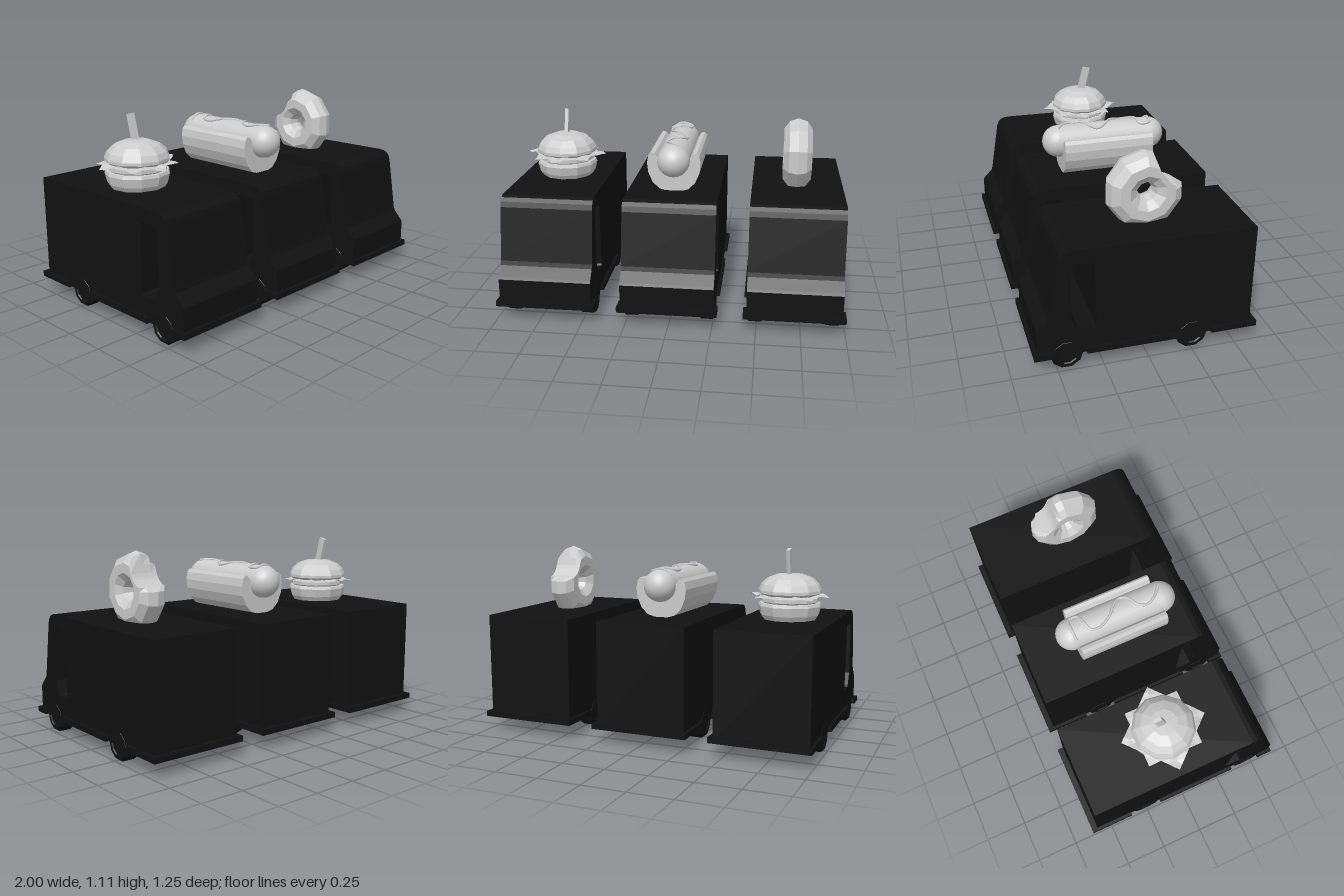
import * as THREE from 'three';

const grey = new THREE.MeshStandardMaterial({ color: 0xcccccc, flatShading: true });
const smooth = new THREE.MeshStandardMaterial({ color: 0xcccccc });
const sheet = new THREE.MeshStandardMaterial({ color: 0xcccccc, flatShading: true, side: THREE.DoubleSide });
const black = new THREE.MeshStandardMaterial({ color: 0x111111, flatShading: true });

function add(parent, name, geometry, material, x = 0, y = 0, z = 0) {
  const mesh = new THREE.Mesh(geometry, material);
  mesh.name = name;
  mesh.position.set(x, y, z);
  parent.add(mesh);
  return mesh;
}

const points = (list) => list.map(([x, y]) => new THREE.Vector2(x, y));
const lathe = (list, sides) => new THREE.LatheGeometry(points(list), sides);

// Van: side profile extruded across x, with a door opening right through
function makeVan() {
  const van = new THREE.Group();
  van.name = 'van';
  const width = 0.536;
  const side = new THREE.Shape(points([
    [0.605, 0.09], [0.605, 0.25], [0.595, 0.263], [0.545, 0.315], [0.537, 0.34], [0.485, 0.65],
    [0.474, 0.68], [0.455, 0.7], [0.43, 0.709], [0.4, 0.711], [-0.59, 0.704], [-0.59, 0.09],
  ]));
  side.holes.push(new THREE.Path(points([
    [0.42, 0.62], [0.41, 0.632], [0.31, 0.632], [0.297, 0.618], [0.285, 0.24],
    [0.294, 0.23], [0.378, 0.23], [0.388, 0.238], [0.42, 0.315],
  ])));
  const body = new THREE.ExtrudeGeometry(side, { depth: width, bevelEnabled: false });
  body.translate(0, 0, -width / 2).rotateY(-Math.PI / 2);
  add(van, 'body', body, black);

  // Skirt, interrupted at the wheels
  for (const [front, back] of [[0.625, 0.53], [0.34, -0.16], [-0.36, -0.625]]) {
    add(van, 'skirt', new THREE.BoxGeometry(0.574, 0.032, front - back), black, 0, 0.105, (front + back) / 2);
  }

  // Ten-sided wheels with chamfered treads and axle stubs
  const tyre = lathe([[0, -0.046], [0.06, -0.046], [0.078, -0.048], [0.09, -0.035],
    [0.09, 0.035], [0.078, 0.048], [0.06, 0.048], [0.054, 0.042], [0, 0.042]], 10);
  const stub = new THREE.CylinderGeometry(0.036, 0.036, 0.08, 10);
  for (const s of [-1, 1]) {
    for (const z of [0.446, -0.254]) {
      const wheel = new THREE.Group();
      wheel.name = 'wheel';
      wheel.position.set(s * 0.222, 0.09, z);
      wheel.rotation.z = -s * Math.PI / 2;
      add(wheel, 'tyre', tyre, black);
      add(wheel, 'axleStub', stub, black, 0, -0.085, 0);
      van.add(wheel);
    }
  }
  return van;
}

// Thin square leaf with a rippled surface and drooping corners
function leaf(size, ripple, droop, turn) {
  const g = new THREE.PlaneGeometry(size, size, 10, 10).rotateX(-Math.PI / 2);
  const p = g.attributes.position;
  for (let i = 0; i < p.count; i++) {
    const x = p.getX(i) / size, z = p.getZ(i) / size;
    p.setY(i, ripple * Math.sin(x * 17) * Math.cos(z * 15) - droop * (x * x + z * z));
  }
  return g.rotateY(turn);
}

function makeBurger() {
  const burger = new THREE.Group();
  burger.name = 'burger';
  burger.position.set(-0.714, 0, -0.05);
  add(burger, 'bottomBun', lathe([[0, 0.7], [0.15, 0.7], [0.172, 0.735], [0.184, 0.785], [0.178, 0.802], [0, 0.805]], 11), grey);
  add(burger, 'patty', lathe([[0, 0.8], [0.152, 0.8], [0.168, 0.81], [0.168, 0.832], [0.15, 0.84], [0, 0.84]], 11), grey);
  add(burger, 'cheese', leaf(0.325, 0.004, 0.03, 0), sheet, 0, 0.848);
  add(burger, 'lettuce', leaf(0.354, 0.01, 0.022, Math.PI / 4 - 0.07), sheet, 0, 0.852);
  add(burger, 'topBun', lathe([[0, 0.845], [0.168, 0.845], [0.183, 0.858], [0.183, 0.875], [0.168, 0.908],
    [0.132, 0.942], [0.075, 0.964], [0, 0.971]], 11), grey);
  const pick = add(burger, 'pick', new THREE.BoxGeometry(0.022, 0.2, 0.045), grey, 0, 1.01, -0.025);
  pick.rotation.x = -0.25;
  return burger;
}

function makeHotDog() {
  const hotDog = new THREE.Group();
  hotDog.name = 'hotDog';
  hotDog.position.set(-0.008, 0.892, -0.022);
  const r = 0.095;
  add(hotDog, 'sausage', new THREE.CapsuleGeometry(r, 0.745 - 2 * r, 8, 24).rotateX(Math.PI / 2), smooth);

  // Crescent bun wrapped under the sausage
  const half = [[0.04, -0.185], [0.085, -0.172], [0.125, -0.133], [0.15, -0.075], [0.157, -0.02], [0.149, 0.025], [0.133, 0.044], [0.112, 0.038]];
  const inner = [[0.09, 0.005], [0.078, -0.045], [0.045, -0.078]];
  const right = [...half, ...inner];
  const left = right.map(([x, y]) => [-x, y]).reverse();
  const bun = new THREE.ExtrudeGeometry(new THREE.Shape(points([...right, ...left])), { depth: 0.535, bevelEnabled: false });
  add(hotDog, 'bun', bun.translate(0, 0, -0.268), grey);

  // Sauce squiggle laid on the top of the sausage
  const path = [[-0.075, -0.272], [-0.01, -0.277], [0.052, -0.272], [0.052, -0.215], [0.0, -0.198], [-0.05, -0.175], [-0.056, -0.12],
    [-0.02, -0.045], [0.04, 0.01], [0.058, 0.05], [0.035, 0.092], [-0.025, 0.13], [-0.045, 0.18], [-0.02, 0.235], [0.035, 0.285]];
  const curve = new THREE.CatmullRomCurve3(path.map(([x, z]) =>
    new THREE.Vector3(x, Math.sqrt(0.099 * 0.099 - x * x), z)));
  add(hotDog, 'sauce', new THREE.TubeGeometry(curve, 70, 0.008, 6), smooth);
  return hotDog;
}

// Ten-sided ring; sections inside the bite are cut back to a smaller radius
function makeDonut() {
  const sections = [[-18], [3], [12, 0.165], [18, 0.132], [27, 0.12], [36, 0.115], [45, 0.117], [54, 0.125], [68, 0.16], [78]];
  for (let a = 90; a <= 306; a += 36) sections.push([a]);
  const sides = 10, position = [], index = [];
  sections.forEach(([deg, limit = 1], i) => {
    const a = THREE.MathUtils.degToRad(deg);
    const offset = ((deg + 18) % 36) - 18;
    const facet = Math.cos(Math.PI / 10) / Math.cos(THREE.MathUtils.degToRad(offset));
    for (let j = 0; j < sides; j++) {
      const t = (j / sides) * Math.PI * 2;
      const radius = Math.min(limit, (0.13 + 0.09 * Math.cos(t)) * facet);
      position.push(0.088 * Math.sin(t), radius * Math.sin(a), -radius * Math.cos(a));
      const n = ((i + 1) % sections.length) * sides, k = (j + 1) % sides, m = i * sides;
      index.push(m + j, n + j, m + k, n + j, n + k, m + k);
    }
  });
  const g = new THREE.BufferGeometry();
  g.setAttribute('position', new THREE.Float32BufferAttribute(position, 3));
  g.setIndex(index);
  g.computeVertexNormals();
  const mesh = new THREE.Mesh(g, sheet);
  mesh.name = 'donut';
  mesh.position.set(0.708, 0.874, -0.047);
  return mesh;
}

export function createModel() {
  const model = new THREE.Group();
  model.name = 'foodVans';
  for (const x of [-0.713, -0.008, 0.713]) {
    const van = makeVan();
    van.position.x = x;
    model.add(van);
  }
  model.add(makeBurger(), makeHotDog(), makeDonut());
  return model;
}
